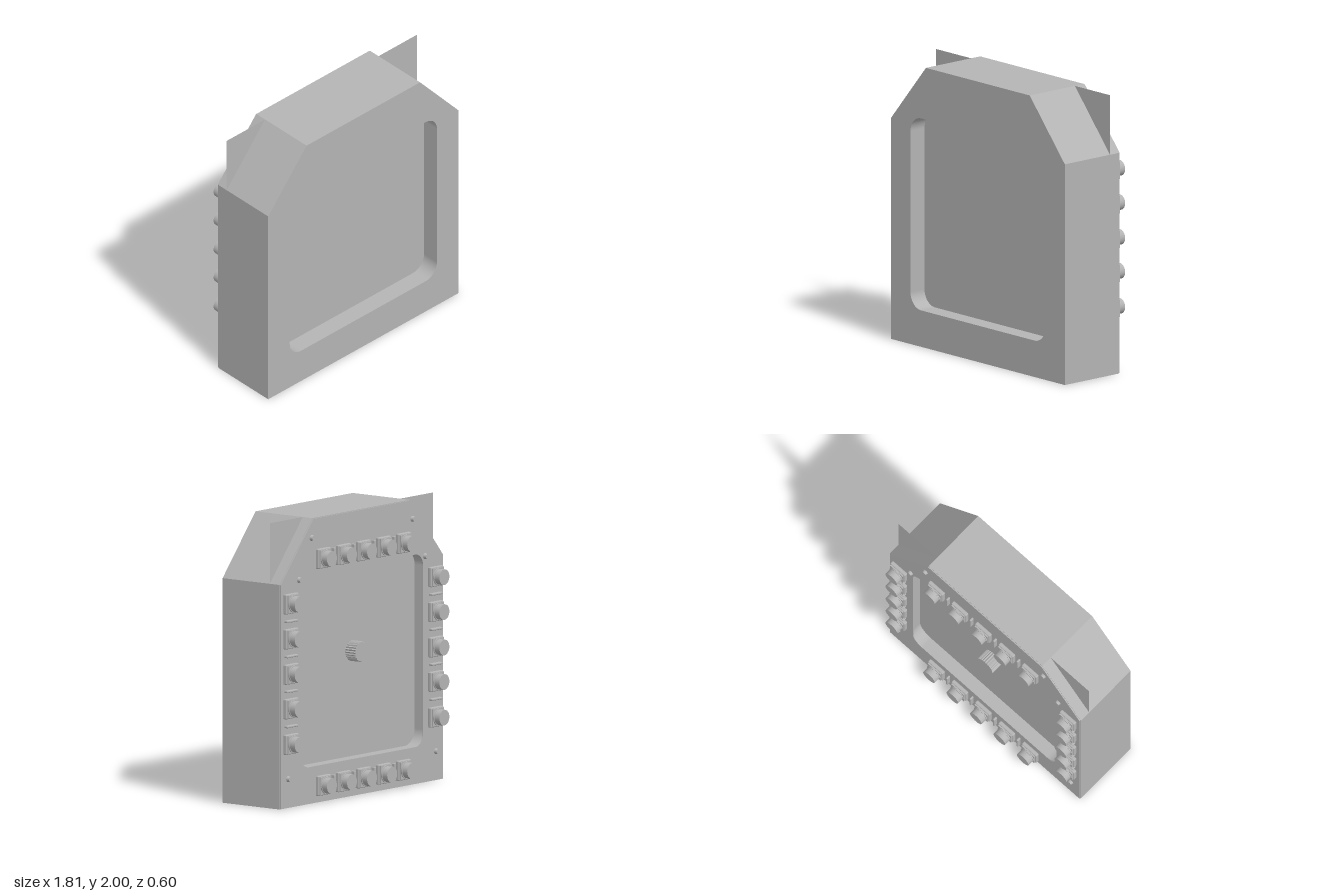
import * as THREE from 'three';
import { RoundedBoxGeometry } from 'three/addons/geometries/RoundedBoxGeometry.js';

const grey = new THREE.MeshStandardMaterial({ color: 0xb4b4b4 });
grey.name = 'panel grey';
const sheetGrey = grey; // one flat colour throughout
sheetGrey.side = THREE.DoubleSide;

const BACK = -0.213;

// Rounded rectangle, drawn as a Shape or as a hole Path
function roundRect(target, x0, y0, x1, y1, r) {
  target.moveTo(x0 + r, y0);
  target.lineTo(x1 - r, y0);
  target.absarc(x1 - r, y0 + r, r, -Math.PI / 2, 0);
  target.lineTo(x1, y1 - r);
  target.absarc(x1 - r, y1 - r, r, 0, Math.PI / 2);
  target.lineTo(x0 + r, y1);
  target.absarc(x0 + r, y1 - r, r, Math.PI / 2, Math.PI);
  target.lineTo(x0, y0 + r);
  target.absarc(x0 + r, y0 + r, r, Math.PI, Math.PI * 1.5);
  return target;
}

// Outline with two cut top corners
function outline(inset) {
  const w = 0.905 - inset, s = inset * 0.45;
  return new THREE.Shape([
    [-w, inset], [w, inset], [w, 1.575 - s], [0.54 - s, 2 - inset], [-0.54 + s, 2 - inset], [-w, 1.575 - s],
  ].map(([x, y]) => new THREE.Vector2(x, y)));
}

function extrude(shape, z0, z1) {
  const g = new THREE.ExtrudeGeometry(shape, { depth: z1 - z0, bevelEnabled: false, curveSegments: 10 });
  return g.translate(0, 0, z0);
}

function add(parent, name, geometry, x = 0, y = 0, z = 0) {
  const mesh = new THREE.Mesh(geometry, grey);
  mesh.name = name;
  mesh.position.set(x, y, z);
  parent.add(mesh);
  return mesh;
}

// Cylinder whose axis runs along z, narrow end at the back
function zCylinder(rBack, rFront, depth, sides) {
  return new THREE.CylinderGeometry(rBack, rFront, depth, sides).rotateX(-Math.PI / 2);
}

export function createModel() {
  const model = new THREE.Group();
  model.name = 'displayPanel';

  // Housing with a window through it
  const housing = outline(0);
  housing.holes.push(roundRect(new THREE.Path(), -0.7, 0.26, 0.7, 1.63, 0.11));
  add(model, 'housing', extrude(housing, -0.205, 0.3));

  // Rear cover with a slightly smaller opening
  const cover = outline(0.004);
  cover.holes.push(roundRect(new THREE.Path(), -0.68, 0.26, 0.68, 1.61, 0.09));
  add(model, 'rearCover', extrude(cover, BACK, -0.205));

  // Floor of the front window
  add(model, 'frontScreen', new THREE.ShapeGeometry(roundRect(new THREE.Shape(), -0.7, 0.26, 0.7, 1.63, 0.11), 10), 0, 0, 0.17);

  // Full-size sheet that shows beyond the cut corners
  add(model, 'innerSheet', new THREE.PlaneGeometry(1.81, 2), 0, 1, -0.12);

  // Ribbed knob in the middle of the rear window
  const knob = new THREE.Shape();
  const ribs = 24;
  for (let i = 0; i < ribs * 2; i++) {
    const a = (i / ribs) * Math.PI, r = i % 2 ? 0.066 : 0.072;
    knob[i ? 'lineTo' : 'moveTo'](Math.cos(a) * r, Math.sin(a) * r);
  }
  add(model, 'knob', extrude(knob, -0.21, -0.12), 0, 1, 0);

  // Push buttons
  const baseGeo = new RoundedBoxGeometry(0.14, 0.14, 0.03, 2, 0.008);
  const stepGeo = new THREE.BoxGeometry(0.122, 0.122, 0.016);
  const collarGeo = zCylinder(0.06, 0.06, 0.014, 32);
  const capGeo = zCylinder(0.055, 0.055, 0.046, 32);
  function button(x, y) {
    const g = new THREE.Group();
    g.name = 'button';
    add(g, 'buttonBase', baseGeo, 0, 0, -0.013);
    add(g, 'buttonStep', stepGeo, 0, 0, -0.03);
    add(g, 'buttonCollar', collarGeo, 0, 0, -0.039);
    add(g, 'buttonCap', capGeo, 0, 0, -0.067);
    g.position.set(x, y, BACK);
    model.add(g);
  }
  const columns = [-0.445, -0.223, 0, 0.223, 0.445];
  const rows = [0.45, 0.7, 0.942, 1.19, 1.435];
  for (const y of [0.12, 1.712]) for (const x of columns) button(x, y);
  for (const x of [-0.803, 0.803]) for (const y of rows) button(x, y);

  // Raised bars between neighbouring buttons
  const upright = new RoundedBoxGeometry(0.016, 0.12, 0.032, 2, 0.006);
  const level = new RoundedBoxGeometry(0.12, 0.016, 0.032, 2, 0.006);
  for (let i = 0; i < 4; i++) {
    for (const y of [0.12, 1.712]) add(model, 'divider', upright, (columns[i] + columns[i + 1]) / 2, y, BACK - 0.014);
    for (const x of [-0.803, 0.803]) add(model, 'divider', level, x, (rows[i] + rows[i + 1]) / 2, BACK - 0.014);
  }

  // Corner screws
  const screwGeo = zCylinder(0.016, 0.021, 0.02, 16);
  for (const side of [-1, 1]) {
    for (const [x, y] of [[0.56, 1.865], [0.7, 1.587], [0.82, 0.205]]) {
      add(model, 'screw', screwGeo, side * x, y, BACK - 0.01);
    }
  }
  return model;
}
